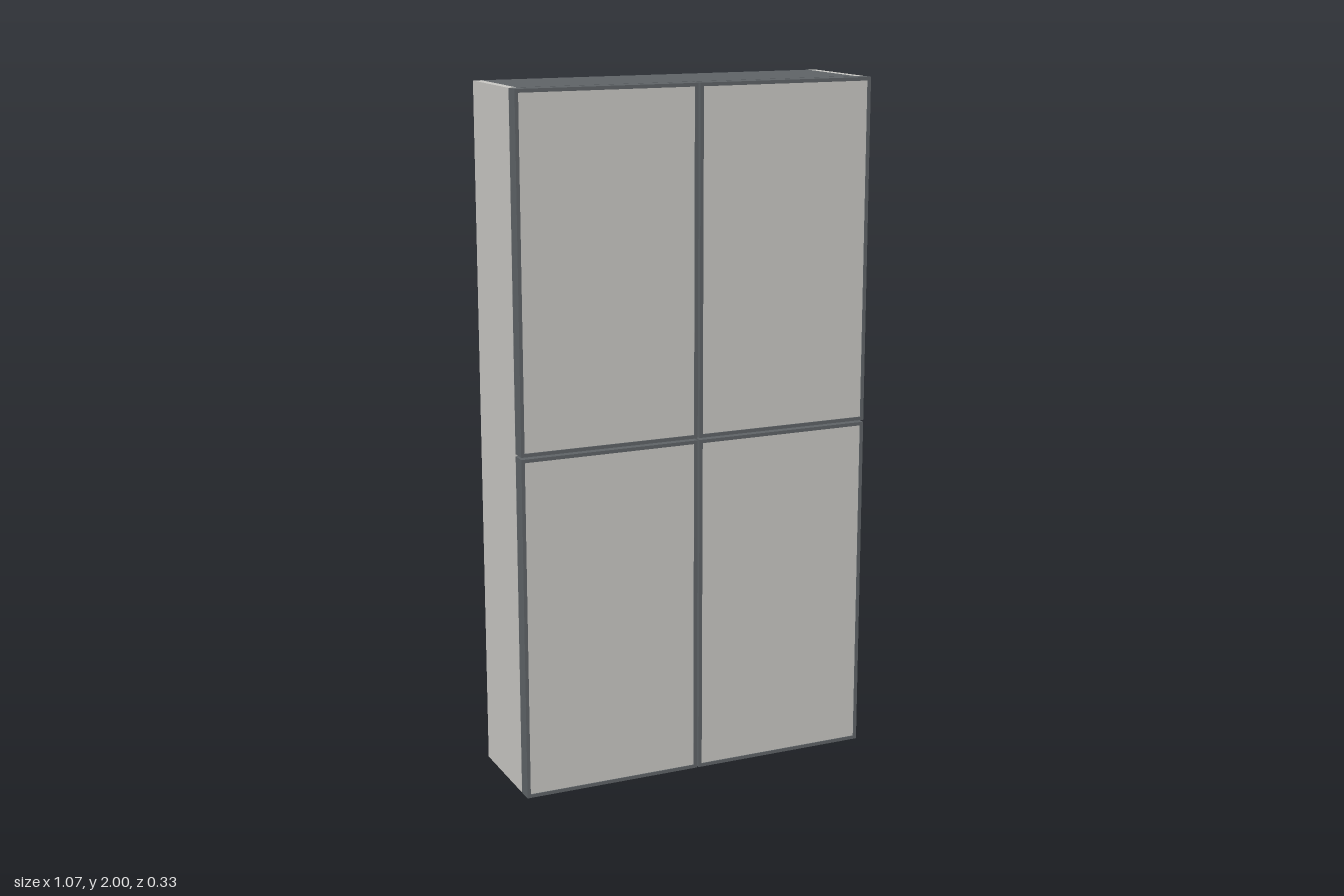
import * as THREE from 'three';

const lightPaint = new THREE.MeshStandardMaterial({ color: 0xc9c8c4 });
lightPaint.name = 'light grey';
const darkPaint = new THREE.MeshStandardMaterial({ color: 0x5f6467 });
darkPaint.name = 'slate grey';

// Box given by its minimum and maximum corners
function box(name, material, [x0, y0, z0], [x1, y1, z1]) {
  const mesh = new THREE.Mesh(new THREE.BoxGeometry(x1 - x0, y1 - y0, z1 - z0), material);
  mesh.position.set((x0 + x1) / 2, (y0 + y1) / 2, (z0 + z1) / 2);
  mesh.name = name;
  return mesh;
}

const W = 0.535, H = 2, BACK = -0.167, FRONT = 0.165;
const BODY = 0.118, BOARD = 0.025, EDGE = 0.01, GAP = 0.003;

// Door: light panel set slightly back inside a thin dark edge band
function door(name, x0, x1, y0, y1) {
  const group = new THREE.Group();
  group.name = name;
  const z0 = BODY + 0.002;
  group.add(
    box('doorEdgeLeft', darkPaint, [x1 - EDGE, y0, z0], [x1, y1, FRONT]),
    box('doorEdgeRight', darkPaint, [x0, y0, z0], [x0 + EDGE, y1, FRONT]),
    box('doorEdgeTop', darkPaint, [x0 + EDGE, y1 - EDGE, z0], [x1 - EDGE, y1, FRONT]),
    box('doorEdgeBottom', darkPaint, [x0 + EDGE, y0, z0], [x1 - EDGE, y0 + EDGE, FRONT]),
    box('doorPanel', lightPaint, [x0 + EDGE, y0 + EDGE, z0], [x1 - EDGE, y1 - EDGE, FRONT - 0.003])
  );
  return group;
}

export function createModel() {
  const cabinet = new THREE.Group();
  cabinet.name = 'cabinet';
  const inner = W - BOARD;

  // Carcass
  cabinet.add(
    box('leftSide', lightPaint, [inner, 0, BACK], [W, H, BODY]),
    box('rightSide', lightPaint, [-W, 0, BACK], [-inner, H, BODY]),
    box('topBoard', darkPaint, [-inner, H - BOARD, BACK], [inner, H, BODY - 0.004]),
    box('bottomBoard', darkPaint, [-inner, 0, BACK], [inner, BOARD, BODY - 0.004]),
    box('backPanel', lightPaint, [-inner, BOARD, BACK + 0.002], [inner, H - BOARD, BACK + 0.015]),
    box('middleShelf', darkPaint, [-inner, 1 - BOARD / 2, BACK + 0.015], [inner, 1 + BOARD / 2, BODY - 0.004])
  );

  // Four doors in two rows
  for (const [row, y0, y1] of [['lower', 0, 1 - GAP], ['upper', 1 + GAP, H]]) {
    cabinet.add(door(row + 'LeftDoor', GAP, W, y0, y1));
    cabinet.add(door(row + 'RightDoor', -W, -GAP, y0, y1));
  }
  return cabinet;
}
